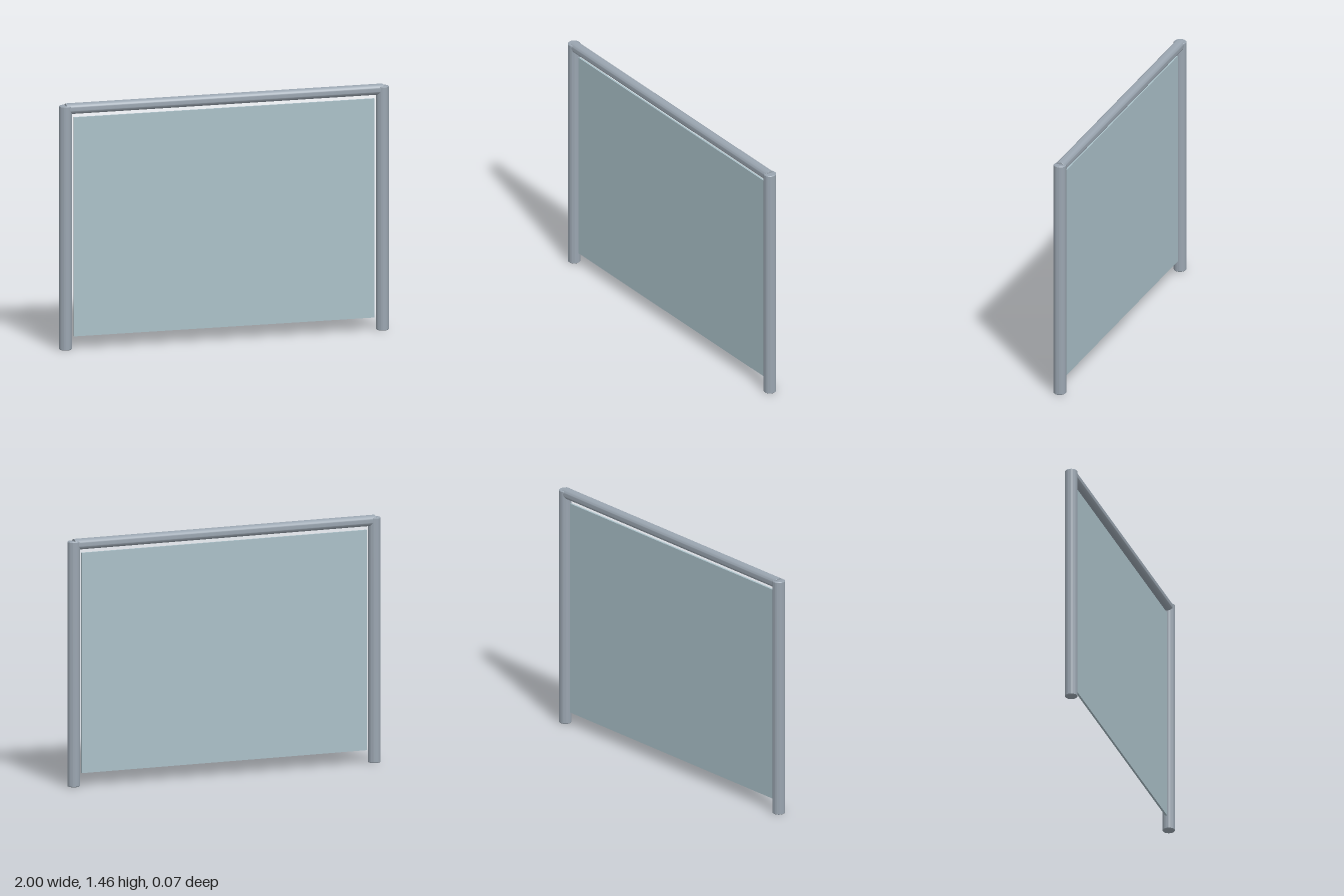
import * as THREE from 'three';
import { toCreasedNormals } from 'three/addons/utils/BufferGeometryUtils.js';

const metal = new THREE.MeshStandardMaterial({ color: 0x9aa5b0 });
const glass = new THREE.MeshStandardMaterial({ color: 0xaac0c8 });

// Closed round bar standing on y = 0, with slightly eased rims
function roundBar(radius, length, ease) {
  const profile = [
    [0, 0], [radius - ease, 0], [radius, ease],
    [radius, length - ease], [radius - ease, length], [0, length],
  ].map(([x, y]) => new THREE.Vector2(x, y));
  return toCreasedNormals(new THREE.LatheGeometry(profile, 40), 0.6);
}

export function createModel() {
  const model = new THREE.Group();
  model.name = 'glassRailing';

  const add = (name, geometry, material, x, y, z) => {
    const mesh = new THREE.Mesh(geometry, material);
    mesh.name = name;
    mesh.position.set(x, y, z);
    model.add(mesh);
    return mesh;
  };

  // Two upright posts
  const postGeometry = roundBar(0.037, 1.444, 0.004);
  for (const [name, side] of [['leftPost', 1], ['rightPost', -1]]) {
    add(name, postGeometry, metal, side * 0.963, 0, 0);
  }

  // Handrail running between the post centres, standing just proud of their tops
  const rail = add('handrail', roundBar(0.032, 1.926, 0.001), metal, 0.963, 1.425, 0);
  rail.rotation.z = Math.PI / 2;

  // Thin infill panel, clear of the posts and rail
  add('glassPanel', new THREE.BoxGeometry(1.824, 1.297, 0.012), glass, 0, 0.7235, 0);

  return model;
}
